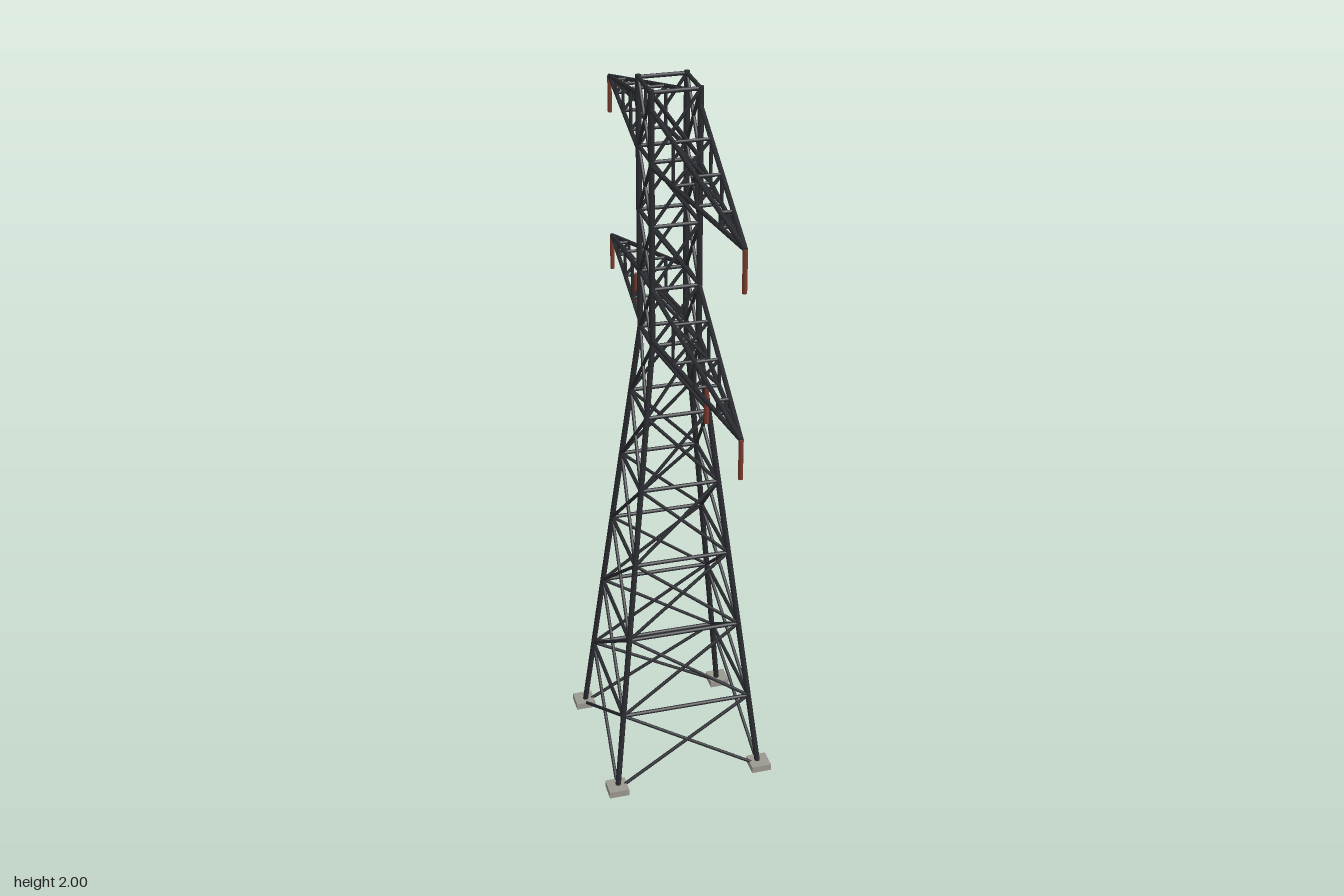
import * as THREE from 'three';
import { mergeGeometries } from 'three/addons/utils/BufferGeometryUtils.js';

const V = (x, y, z) => new THREE.Vector3(x, y, z);
const UP = V(0, 1, 0);

// Slim round bar running between two points
function bar(a, b, t) {
  const d = b.clone().sub(a);
  const geo = new THREE.CylinderGeometry(t / 2, t / 2, d.length(), 8);
  geo.applyQuaternion(new THREE.Quaternion().setFromUnitVectors(UP, d.normalize()));
  const mid = a.clone().add(b).multiplyScalar(0.5);
  return geo.translate(mid.x, mid.y, mid.z);
}

export function createModel() {
  const steel = new THREE.MeshStandardMaterial({ color: 0x2b2c31 });
  steel.name = 'dark steel';
  const concrete = new THREE.MeshStandardMaterial({ color: 0x9b998f });
  concrete.name = 'concrete';
  const ceramic = new THREE.MeshStandardMaterial({ color: 0x7a3b2e });
  ceramic.name = 'brown ceramic';

  const model = new THREE.Group();
  model.name = 'latticeTower';
  const add = (name, geos, mat, parent = model) => {
    const mesh = new THREE.Mesh(mergeGeometries(geos), mat);
    mesh.name = name;
    parent.add(mesh);
  };

  // Tower outline: tapering below the waist, straight above it
  const base = 0.01, waist = 1.32, top = 1.994;
  const baseHalf = 0.208, topHalf = 0.062;
  const half = y => y >= waist ? topHalf
    : baseHalf + (topHalf - baseHalf) * (y - base) / (waist - base);
  const levels = [base, 0.244, 0.479, 0.702, 0.918, 1.123, waist, 1.478, 1.648, 1.818, top];
  const signs = [[1, 1], [1, -1], [-1, -1], [-1, 1]];
  const corner = (i, y) => {
    const [sx, sz] = signs[i % 4], h = half(y);
    return V(sx * h, y, sz * h);
  };

  // Legs, level frames and crossed braces on all four faces
  const legs = [], frames = [], braces = [], footings = [];
  for (let i = 0; i < 4; i++) {
    legs.push(bar(corner(i, 0.001), corner(i, waist), 0.016));
    legs.push(bar(corner(i, waist), corner(i, 2), 0.016));
    const [sx, sz] = signs[i];
    footings.push(new THREE.BoxGeometry(0.056, 0.02, 0.056).translate(sx * 0.21, 0.016, sz * 0.21));
    for (let k = 1; k < levels.length; k++) {
      const lo = levels[k - 1], hi = levels[k];
      frames.push(bar(corner(i, hi), corner(i + 1, hi), 0.011));
      braces.push(bar(corner(i, lo), corner(i + 1, hi), 0.0095));
      braces.push(bar(corner(i + 1, lo), corner(i, hi), 0.0095));
    }
  }
  add('legs', legs, steel);
  add('levelFrames', frames, steel);
  add('crossBraces', braces, steel);
  add('footings', footings, concrete);

  // Pyramid-shaped crossarm with braced sections and hanging insulators
  const tipZ = 0.63, stations = [0.205, 0.348, 0.49];
  function crossarm(name, side, low, high, tipY, hangers) {
    const arm = new THREE.Group();
    arm.name = name;
    const tip = V(0, tipY, side * tipZ);
    const point = (sx, y, z) =>
      V(sx * topHalf, y, side * topHalf).lerp(tip, (z - topHalf) / (tipZ - topHalf));
    const chords = [], sections = [];
    for (const sx of [-1, 1])
      for (const y of [low, high]) chords.push(bar(point(sx, y, topHalf), tip, 0.012));
    for (const z of stations) {
      const [a, b, c, d] = [point(-1, low, z), point(1, low, z), point(1, high, z), point(-1, high, z)];
      for (const [p, q] of [[a, b], [b, c], [c, d], [d, a], [a, c], [b, d]])
        sections.push(bar(p, q, 0.009));
    }
    add('armChords', chords, steel, arm);
    add('armSections', sections, steel, arm);
    const insulators = hangers.map(z =>
      new THREE.CylinderGeometry(0.0062, 0.0062, 0.104, 8).translate(0, tipY - 0.052, side * z));
    add('insulators', insulators, ceramic, arm);
    model.add(arm);
  }
  for (const [side, word] of [[1, 'Front'], [-1, 'Back']]) {
    crossarm('upper' + word + 'Arm', side, 1.806, 1.952, 1.816, [tipZ]);
    crossarm('lower' + word + 'Arm', side, 1.335, 1.478, 1.341, [tipZ, stations[1]]);
  }
  return model;
}
